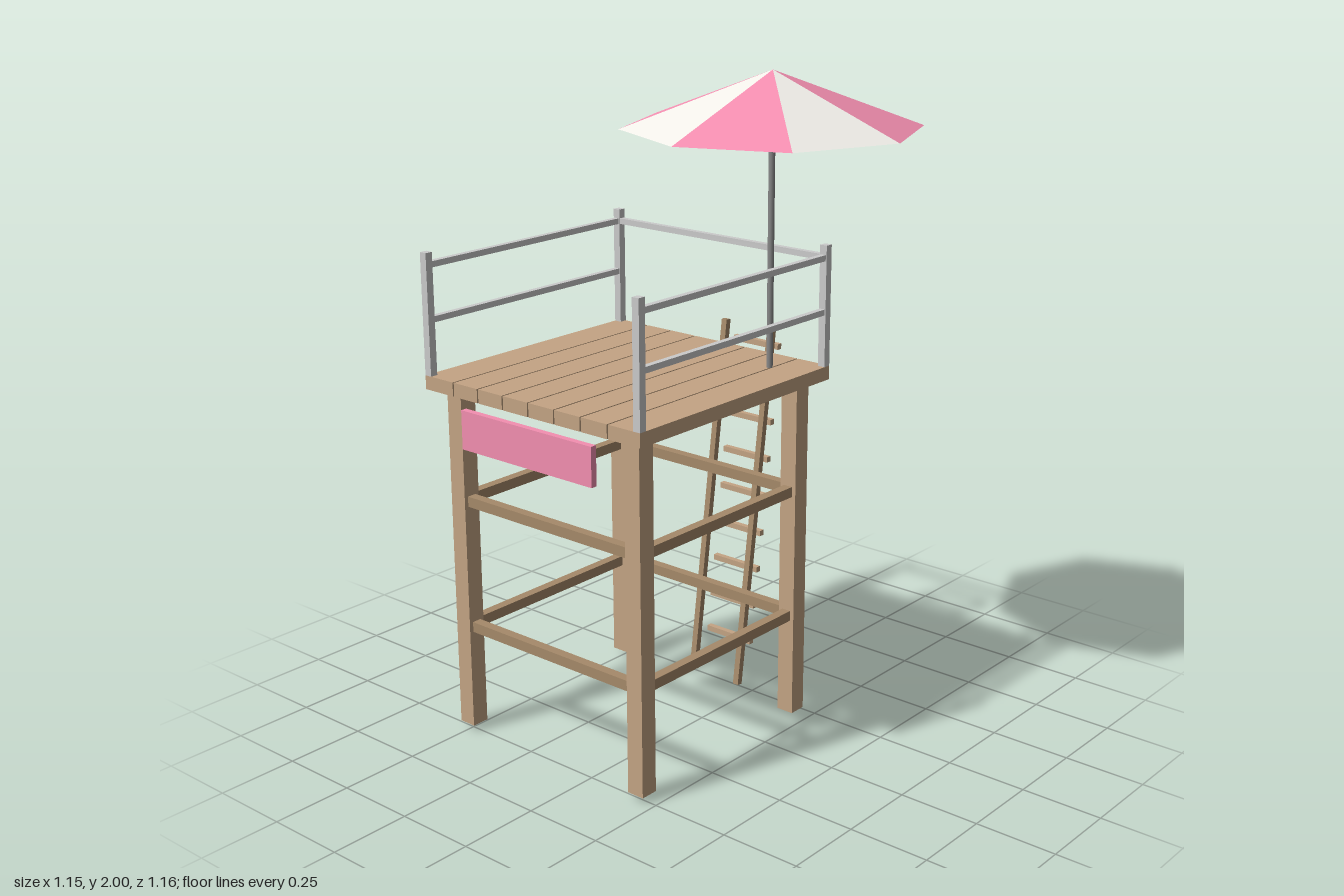
import * as THREE from 'three';

const mat = (color, extra = {}) => new THREE.MeshStandardMaterial({ color, ...extra });

export function createModel() {
  const model = new THREE.Group();
  const wood = mat(0xc4a484), darkWood = mat(0xa68a6a), white = mat(0xdddddd);
  const steel = mat(0x888888), pink = mat(0xf48fb1);

  const group = (name) => {
    const g = new THREE.Group();
    g.name = name;
    model.add(g);
    return g;
  };
  const box = (parent, name, w, h, d, x, y, z, material) => {
    const m = new THREE.Mesh(new THREE.BoxGeometry(w, h, d), material);
    m.name = name;
    m.position.set(x, y, z);
    parent.add(m);
    return m;
  };

  // Tower centre, and half distances to legs and deck edge
  const cx = -0.156, cz = 0.146, legHalf = 0.347, deckHalf = 0.418;

  // Legs
  const legs = group('legs');
  for (const sx of [-1, 1]) for (const sz of [-1, 1])
    box(legs, 'leg', 0.056, 1.07, 0.056, cx + sx * legHalf, 0.555, cz + sz * legHalf, wood);

  // Horizontal braces on all four sides
  const braces = group('braces');
  for (const y of [0.345, 0.748]) for (const s of [-1, 1]) {
    const len = 2 * legHalf - 0.056;
    box(braces, 'brace', len, 0.032, 0.03, cx, y, cz + s * legHalf, darkWood);
    box(braces, 'brace', 0.03, 0.032, len, cx + s * legHalf, y, cz, darkWood);
  }

  // Deck: eight planks with narrow gaps and an edge beam on each side
  const deck = group('deck');
  const pitch = 0.1003, edge = deckHalf - 4 * pitch;
  for (let i = 0; i < 8; i++)
    box(deck, 'plank', pitch - 0.005, 0.042, 2 * deckHalf, cx + (i - 3.5) * pitch, 1.11, cz, wood);
  for (const s of [-1, 1])
    box(deck, 'edgeBeam', edge + 0.0025, 0.042, 2 * deckHalf,
      cx + s * (deckHalf - edge / 2 - 0.00125), 1.11, cz, wood);

  // Railing, open at the front, with a single bar at the back
  const railing = group('railing');
  const railHalf = deckHalf - 0.012, railLen = 2 * railHalf - 0.024;
  for (const sx of [-1, 1]) {
    for (const sz of [-1, 1])
      box(railing, 'railPost', 0.024, 0.365, 0.024, cx + sx * railHalf, 1.3135, cz + sz * railHalf, white);
    for (const y of [1.459, 1.297])
      box(railing, 'sideRail', 0.018, 0.018, railLen, cx + sx * railHalf, y, cz, white);
  }
  box(railing, 'backRail', railLen, 0.018, 0.018, cx, 1.459, cz - railHalf, white);

  // Ladder, leaning outward, with rungs set behind its stiles
  const ladder = group('ladder');
  for (const x of [-0.249, -0.066]) {
    const stile = box(ladder, 'stile', 0.02, 1.168, 0.02, x, 0.58, -0.335, darkWood);
    stile.rotation.x = -Math.atan2(0.16, 1.16);
  }
  for (let i = 0; i < 9; i++)
    box(ladder, 'rung', 0.178, 0.018, 0.018, -0.157, 0.125 + i * 0.1206, -0.329 - i * 0.0162, wood);

  // Sign board
  box(model, 'signBoard', 0.508, 0.118, 0.02, -0.156, 1.003, 0.57, pink);

  // Parasol with alternating panels
  const parasol = group('parasol');
  parasol.position.set(0.137, 0, -0.146);
  const pole = new THREE.Mesh(new THREE.CylinderGeometry(0.0095, 0.0095, 0.86, 12), steel);
  pole.name = 'pole';
  pole.position.y = 1.56;
  parasol.add(pole);
  const canopy = [0xf48fb1, 0xf0eee8].map((c) => mat(c, { flatShading: true, side: THREE.DoubleSide }));
  for (let i = 0; i < 8; i++) {
    const panel = new THREE.Mesh(
      new THREE.ConeGeometry(0.436, 0.162, 1, 1, true, i * Math.PI / 4, Math.PI / 4), canopy[i % 2]);
    panel.name = 'canopyPanel';
    panel.position.y = 1.919;
    parasol.add(panel);
  }

  return model;
}
